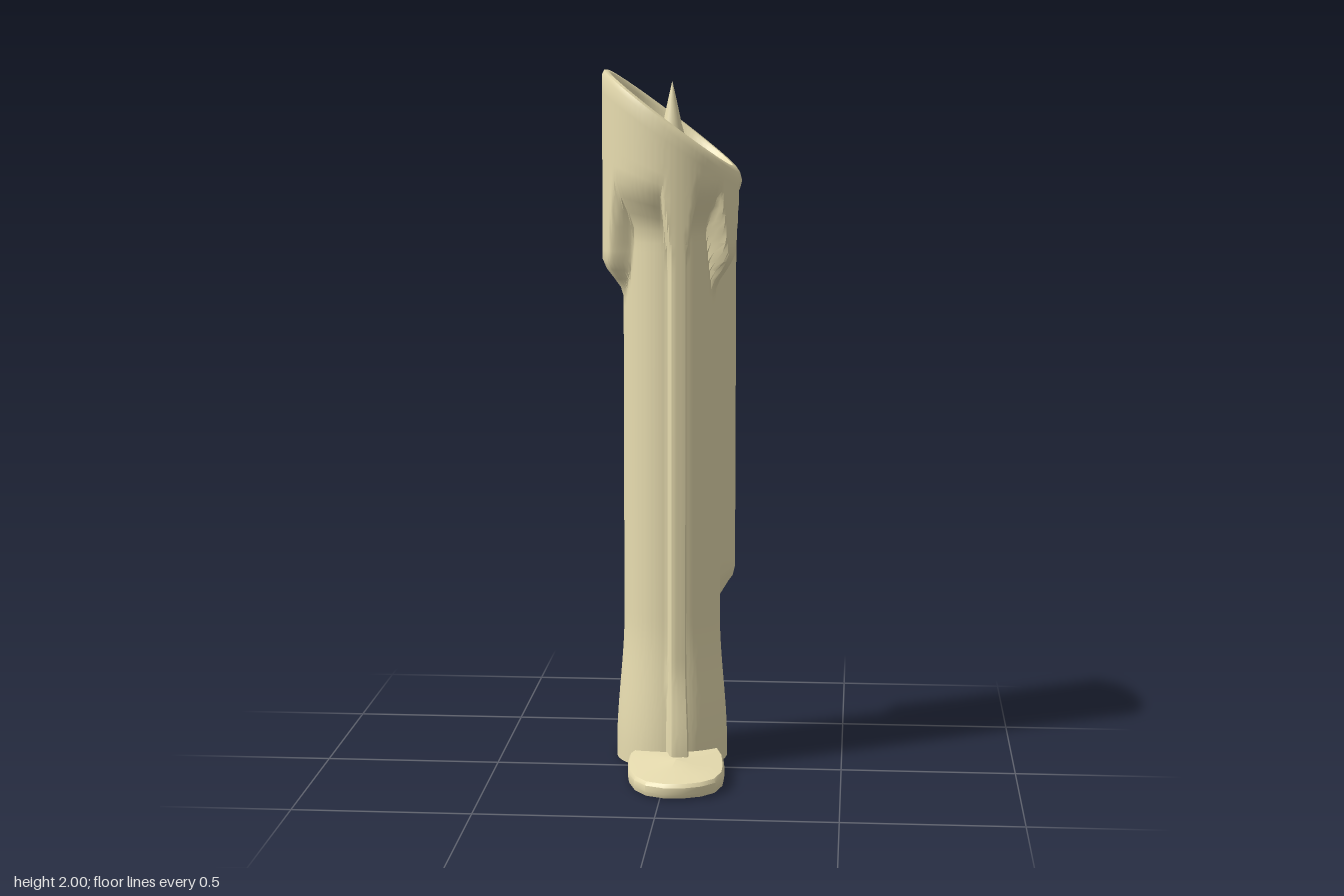
import * as THREE from 'three';
import { toCreasedNormals } from 'three/addons/utils/BufferGeometryUtils.js';

const AXIS_Z = -0.134; // candle axis
const { smoothstep, lerp } = THREE.MathUtils;

// Skin a list of rings (each an array of [x, y, z], ordered from +z towards +x)
function loft(rings, crease) {
  const n = rings[0].length, index = [];
  for (let i = 0; i < rings.length - 1; i++) {
    for (let j = 0; j < n; j++) {
      const k = (j + 1) % n;
      const a = i * n + j, b = i * n + k, c = a + n, d = b + n;
      index.push(a, b, d, a, d, c);
    }
  }
  const geo = new THREE.BufferGeometry();
  geo.setAttribute('position', new THREE.Float32BufferAttribute(rings.flat(2), 3));
  geo.setIndex(index);
  return toCreasedNormals(geo, crease);
}

// Wax runs: angle from the front, half width, height where the tip starts, tip end
const DRIPS = [
  { angle: 0.17, width: 0.16, start: -0.2, end: -0.3 },
  { angle: 1.1, width: 0.18, start: 1.5, end: 1.37 },
  { angle: 2.12, width: 0.16, start: 0.55, end: 0.43 },
  { angle: 3.36, width: 0.27, start: 1.02, end: 0.89 },
  { angle: 4.95, width: 0.42, start: 1.47, end: 1.36 },
];

// Slanted rim: high on the -x side, low on the +x side
const slant = (x) => 1.865 - 0.75 * x;

// Outer radius of the wax column at an angle and height
function waxRadius(a, y) {
  const body = 0.14 + 0.022 * (1 - smoothstep(y, 0.04, 0.42));
  let wax = smoothstep(y, 1.54, 1.7);
  for (const d of DRIPS) {
    const off = Math.abs(Math.atan2(Math.sin(a - d.angle), Math.cos(a - d.angle)));
    const tip = smoothstep(y, d.end, d.start);
    const w = d.width * (0.45 + 0.55 * tip) + 0.2 * smoothstep(y, 1.45, 1.7);
    wax = Math.max(wax, tip * (1 - smoothstep(off, w * 0.6, w * 1.15)));
  }
  // the front run spreads forward where it meets the puddle
  const front = Math.abs(Math.atan2(Math.sin(a - 0.17), Math.cos(a - 0.17)));
  const spread = 0.035 * (1 - smoothstep(y, 0.04, 0.32)) * (1 - smoothstep(front, 0.1, 0.19));
  return lerp(body, 0.2, wax) + spread;
}

function candleGeometry() {
  const N = 192, rings = [];
  const ring = (fn) => rings.push(Array.from({ length: N }, (_, j) => {
    const a = (j / N) * Math.PI * 2;
    const [r, y] = fn(a);
    return [r * Math.sin(a), y, AXIS_Z + r * Math.cos(a)];
  }));
  // underside and column with its runs
  ring(() => [0.001, 0]);
  ring((a) => [waxRadius(a, 0), 0]);
  const ROWS = 56;
  for (let i = 0; i <= ROWS; i++) {
    const y = 0.012 + (1.52 - 0.012) * (i / ROWS);
    ring((a) => [waxRadius(a, y), y]);
  }
  // flared head up to the slanted rim
  for (let i = 1; i <= 10; i++) {
    ring((a) => {
      const y = lerp(1.52, slant(0.2 * Math.sin(a)) - 0.025, i / 10);
      return [waxRadius(a, y), y];
    });
  }
  // rounded lip, following the slant
  for (const [r, h] of [[0.194, -0.007], [0.184, 0], [0.172, -0.002], [0.164, -0.014]]) {
    ring((a) => [r, slant(r * Math.sin(a)) + h]);
  }
  // hollow, flattening towards the pool; s is how much of the slant remains
  const hollow = [
    [0.157, -0.045, 0.95], [0.147, -0.08, 0.8], [0.132, -0.115, 0.5], [0.118, -0.14, 0.2],
    [0.108, -0.15, 0], [0.085, -0.15, 0], [0.07, -0.12, 0], [0.064, -0.085, 0],
    [0.052, -0.06, 0], [0.036, -0.05, 0], [0.001, -0.05, 0],
  ];
  for (const [r, h, s] of hollow) {
    ring((a) => [r, 1.865 + h - 0.75 * r * Math.sin(a) * s]);
  }
  return loft(rings, 0.7);
}

// Puddle of set wax: a thin plate, hollow underneath
function puddleGeometry() {
  const outline = [
    [0.01, 0.334], [0.065, 0.332], [0.115, 0.31], [0.152, 0.27], [0.17, 0.2], [0.17, 0.13],
    [0.16, 0.02], [0.14, -0.06], [-0.09, -0.06], [-0.112, 0.02], [-0.11, 0.1],
    [-0.1, 0.19], [-0.077, 0.262], [-0.042, 0.312],
  ];
  const cx = 0.03, cz = 0.13;
  const profile = [ // scale, height
    [0.01, 0.03], [0.75, 0.028], [0.92, 0.005], [0.98, 0.004], [1, 0.016],
    [1, 0.034], [0.96, 0.044], [0.7, 0.048], [0.35, 0.052], [0.01, 0.058],
  ];
  const rings = profile.map(([s, y]) =>
    outline.map(([x, z]) => [cx + (x - cx) * s, y, cz + (z - cz) * s]));
  return loft(rings, 0.6);
}

export function createModel() {
  const group = new THREE.Group();
  group.name = 'candle';
  const wax = new THREE.MeshStandardMaterial({ color: 0xe8ddb0 });
  const add = (name, geo) => {
    const mesh = new THREE.Mesh(geo, wax);
    mesh.name = name;
    group.add(mesh);
    return mesh;
  };

  add('waxColumn', candleGeometry());
  add('waxPuddle', puddleGeometry());

  // Wick: a slim pointed spike with a softly rounded foot
  const profile = [[0.036, 1.8], [0.034, 1.825], [0.027, 1.85], [0.012, 1.92], [0.0005, 1.97]]
    .map(([r, y]) => new THREE.Vector2(r, y));
  add('wick', new THREE.LatheGeometry(profile, 16)).position.z = AXIS_Z;

  return group;
}
